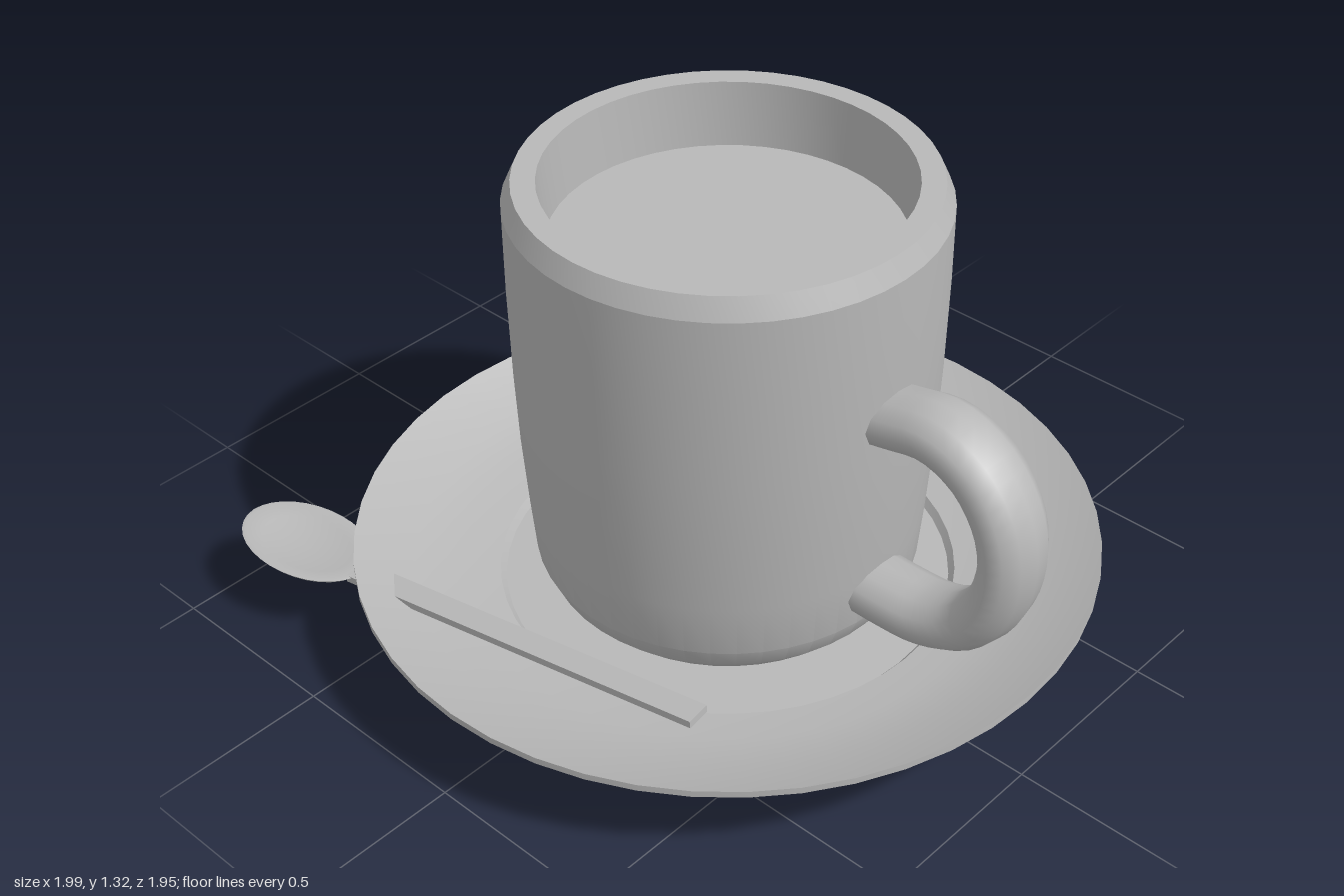
import * as THREE from 'three';
import { toCreasedNormals } from 'three/addons/utils/BufferGeometryUtils.js';

const CX = 0.02; // axis of the cup and saucer

export function createModel() {
  const group = new THREE.Group();
  const clay = new THREE.MeshStandardMaterial({ color: 0xb8b8b8 });
  clay.name = 'plain grey';

  const add = (name, geometry, x = 0, y = 0, z = 0) => {
    const mesh = new THREE.Mesh(geometry, clay);
    mesh.name = name;
    mesh.position.set(x, y, z);
    group.add(mesh);
    return mesh;
  };

  // Turned part from a profile of [radius, height], with sharp edges kept
  const turned = (profile, segments = 48, crease = 0.4) => toCreasedNormals(
    new THREE.LatheGeometry(profile.map(([r, y]) => new THREE.Vector2(r, y)), segments), crease);

  // Thin box: centre of its top face, vectors along its length and width, thickness
  const plate = (name, top, along, across, thick) => {
    const u = new THREE.Vector3(...along), w = new THREE.Vector3(...across);
    const geo = new THREE.BoxGeometry(u.length(), thick, w.length());
    geo.translate(0, -thick / 2, 0);
    u.normalize();
    const v = w.clone().cross(u).normalize();
    w.crossVectors(u, v);
    geo.applyMatrix4(new THREE.Matrix4().makeBasis(u, v, w));
    return add(name, geo, ...top);
  };

  // Saucer with a hollow foot, a dished rim and a sunken well
  add('saucer', turned([
    [0, 0.04], [0.46, 0.04], [0.48, 0], [0.55, 0], [0.572, 0.05], [0.59, 0.12],
    [0.6, 0.12], [0.81, 0.168], [0.975, 0.242], [0.975, 0.26],
    [0.82, 0.186], [0.7, 0.158], [0.6, 0.145], [0.585, 0.125], [0, 0.125],
  ]), CX);

  // Cup wall: rounded base, slight flare, bevelled lip, inner wall
  add('cup', turned([
    [0, 0.126], [0.38, 0.126], [0.43, 0.145], [0.473, 0.19], [0.5, 0.25], [0.513, 0.4],
    [0.527, 0.6], [0.535, 0.8], [0.54, 1.05], [0.54, 1.26], [0.515, 1.315],
    [0.455, 1.315], [0.44, 1.12],
  ], 48, 0.35), CX);
  add('drink', turned([[0.443, 1.14], [0, 1.14]]), CX);

  // Handle: tube swept along a curve, widened sideways to an oval section
  const path = new THREE.CatmullRomCurve3([
    [0.5, 0.865], [0.58, 0.882], [0.7, 0.902], [0.815, 0.855], [0.893, 0.75],
    [0.914, 0.63], [0.885, 0.5], [0.81, 0.4], [0.7, 0.35], [0.6, 0.341], [0.49, 0.341],
  ].map(([x, y]) => new THREE.Vector3(x, y, 0)));
  const tube = new THREE.TubeGeometry(path, 32, 0.071, 12);
  tube.scale(1, 1, 1.46);
  tube.computeVertexNormals();
  add('handle', toCreasedNormals(tube, 0.9));

  // Spoon: shallow oval bowl and a flat bar sinking into the saucer rim
  const bowl = turned([
    [0, -0.052], [0.45, -0.044], [0.75, -0.028], [0.93, -0.012], [1, 0],
    [0.95, 0.002], [0.7, -0.008], [0.4, -0.016], [0, -0.02],
  ], 32, 0.6);
  bowl.scale(0.208, 1, 0.13);
  add('spoonBowl', bowl, -0.79, 0.204, 0.757).rotation.y = 0.06;
  plate('spoonHandle', [-0.07, 0.245, 0.67], [1.08, 0.08, -0.148], [0.0095, 0, 0.069], 0.02);

  // Flat packet leaning on the saucer rim
  plate('packet', [-0.583, 0.239, -0.585], [0.52, -0.12, -0.37], [0.25, 0.07, 0.32], 0.025);

  return group;
}
